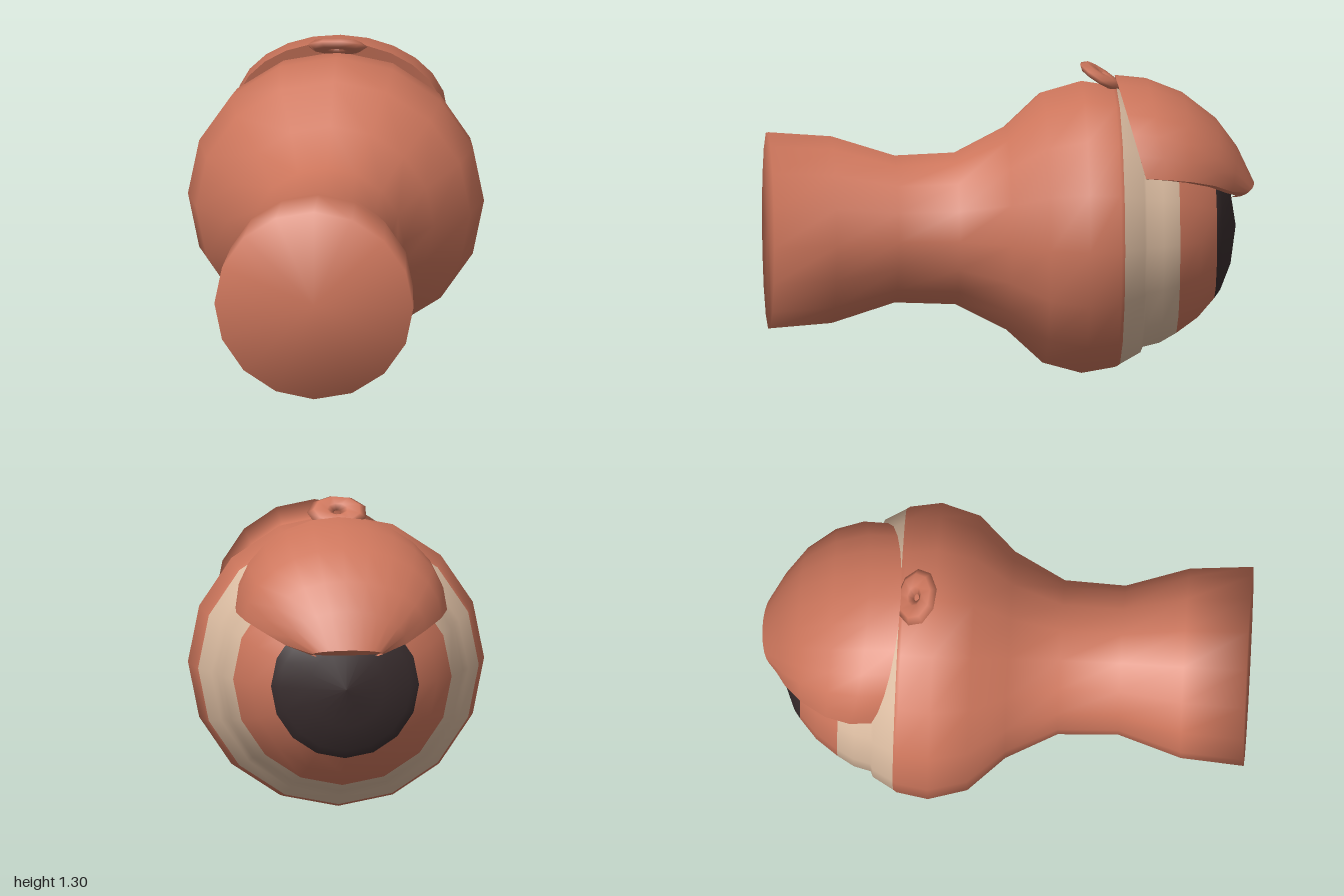
import * as THREE from 'three';
import { toCreasedNormals } from 'three/addons/utils/BufferGeometryUtils.js';

const clay = new THREE.MeshStandardMaterial({ color: 0xcd765c });
clay.name = 'terracotta';
const cream = new THREE.MeshStandardMaterial({ color: 0xdabba0 });
cream.name = 'cream';
const dark = new THREE.MeshStandardMaterial({ color: 0x382c2d });
dark.name = 'pupilBrown';
const lidClay = new THREE.MeshStandardMaterial({ color: 0xcd765c, side: THREE.DoubleSide });
lidClay.name = 'lidTerracotta';

const AXIS_Y = 0.61;

// Turned body: [radius, z, material of the band that starts here]
function makeBody() {
  const profile = [
    [0, -0.925, 2], [0.16, -0.9, 2], [0.27, -0.855, 2], [0.305, -0.83, 0],
    [0.385, -0.76, 0], [0.45, -0.67, 1], [0.49, -0.6, 1], [0.507, -0.53, 1],
    [0.53, -0.52, 1], [0.578, -0.435, 0], [0.588, -0.42, 0], [0.61, -0.29, 0],
    [0.565, -0.13, 0], [0.425, 0.02, 0], [0.317, 0.23, 0], [0.307, 0.48, 0],
    [0.39, 0.74, 0], [0.41, 1, 0], [0, 1, 0],
  ];
  const segments = 16;
  const geo = new THREE.LatheGeometry(profile.map(([r, z]) => new THREE.Vector2(r, z)), segments);
  // one colour group per band and segment
  const quads = profile.length - 1;
  for (let s = 0; s < segments; s++) {
    for (let j = 0; j < quads; j++) geo.addGroup((s * quads + j) * 6, 6, profile[j][2]);
  }
  geo.rotateX(Math.PI / 2);
  const body = new THREE.Mesh(geo, [clay, cream, dark]);
  body.name = 'eyeballBody';
  body.position.y = AXIS_Y;
  return body;
}

// Hooded lid: arched cross-sections [crest y, crest z, edge x, edge y, edge z]
function makeLid() {
  const sections = [
    [1.17, -0.45, 0.41, 0.885, -0.53],
    [1.235, -0.43, 0.43, 0.885, -0.53],
    [1.22, -0.56, 0.435, 0.88, -0.62],
    [1.16, -0.71, 0.405, 0.865, -0.72],
    [1.05, -0.85, 0.335, 0.835, -0.82],
    [0.94, -0.93, 0.25, 0.795, -0.895],
    [0.79, -1.0, 0.15, 0.765, -0.955],
    [0.755, -0.925, 0.14, 0.76, -0.915],
  ];
  const steps = 12;
  const cols = steps + 3;
  const pos = [];
  const index = [];
  for (const [cy, cz, ex, ey, ez] of sections) {
    const lip = (side) => pos.push(side * ex * 0.86, ey - 0.012, ez + 0.02);
    lip(-1);
    for (let i = 0; i <= steps; i++) {
      const a = (i / steps - 0.5) * Math.PI;
      const k = Math.cos(a);
      pos.push(ex * Math.sin(a), ey + (cy - ey) * k, ez + (cz - ez) * k);
    }
    lip(1);
  }
  for (let r = 0; r < sections.length - 1; r++) {
    for (let c = 0; c < cols - 1; c++) {
      const a = r * cols + c, b = a + 1, d = a + cols, e = d + 1;
      index.push(a, b, d, b, e, d);
    }
  }
  const geo = new THREE.BufferGeometry();
  geo.setAttribute('position', new THREE.Float32BufferAttribute(pos, 3));
  geo.setIndex(index);
  const lid = new THREE.Mesh(toCreasedNormals(geo, 0.9), lidClay);
  lid.name = 'eyelid';
  return lid;
}

// Small flattened ring tied on top, tilted up towards the front
function makeKnot() {
  const geo = new THREE.TorusGeometry(0.07, 0.055, 6, 9);
  geo.scale(1, 0.78, 0.4);
  geo.rotateX(THREE.MathUtils.degToRad(58));
  const knot = new THREE.Mesh(geo, clay);
  knot.name = 'lidKnot';
  knot.position.set(0, 1.242, -0.365);
  return knot;
}

export function createModel() {
  const model = new THREE.Group();
  model.name = 'eyeStalk';
  model.add(makeBody(), makeLid(), makeKnot());
  return model;
}
